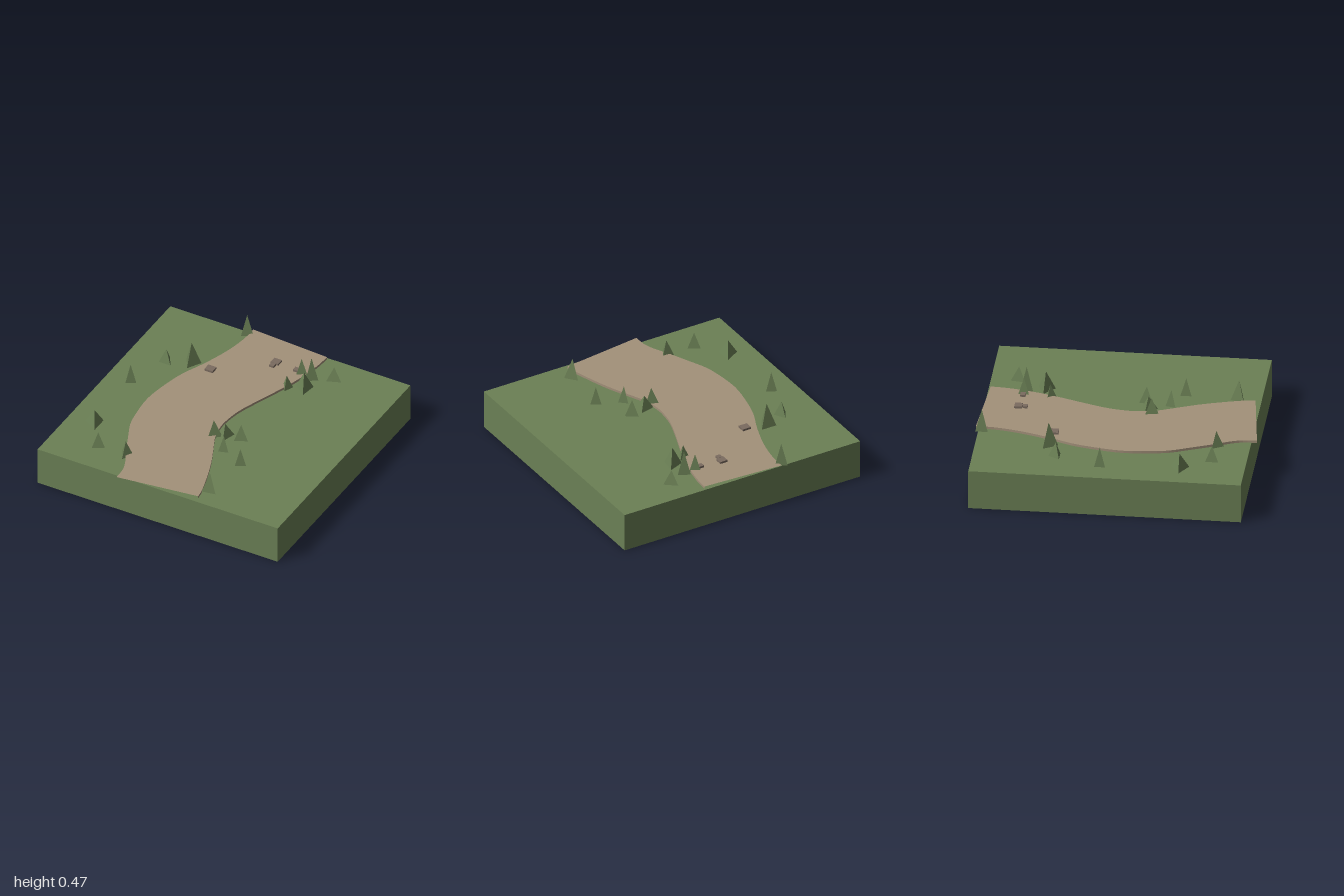
import * as THREE from 'three';

const GROUND_Y = 0.293;

const green = new THREE.MeshStandardMaterial({ color: 0x6b8055, flatShading: true, side: THREE.DoubleSide });
green.name = 'grass green';
const tan = new THREE.MeshStandardMaterial({ color: 0xa3917a, flatShading: true });
tan.name = 'path tan';
const stone = new THREE.MeshStandardMaterial({ color: 0x7b6c60, flatShading: true });
stone.name = 'stone brown';

// Ground block, hollow and open underneath
function makeGround() {
  const geo = new THREE.BoxGeometry(1.94, GROUND_Y, 1.94);
  const index = Array.from(geo.index.array);
  index.splice(18, 6); // remove the bottom face
  geo.setIndex(index);
  geo.clearGroups();
  const mesh = new THREE.Mesh(geo, green);
  mesh.name = 'ground';
  mesh.position.set(0, GROUND_Y / 2, -0.01);
  return mesh;
}

// Winding path: a slab swept between two edge curves, open at both ends
function makePath() {
  const curve = (pts) => new THREE.CatmullRomCurve3(pts.map(([x, z]) => new THREE.Vector3(x, 0, z)));
  const left = curve([[-0.31, -1], [-0.315, -0.87], [-0.35, -0.69], [-0.42, -0.48], [-0.5, -0.29],
    [-0.55, -0.08], [-0.57, 0.08], [-0.555, 0.27], [-0.53, 0.4], [-0.475, 0.53], [-0.395, 0.71], [-0.34, 0.82], [-0.315, 0.9], [-0.31, 1]]);
  const right = curve([[0.305, -0.965], [0.295, -0.84], [0.26, -0.66], [0.2, -0.47], [0.125, -0.27],
    [0.065, -0.09], [0.045, 0.05], [0.045, 0.11], [0.065, 0.23], [0.125, 0.37], [0.195, 0.53], [0.25, 0.69], [0.295, 0.85], [0.305, 0.92]]);
  const steps = 39, top = 0.312, bottom = GROUND_Y + 0.001;
  const sections = [];
  for (let i = 0; i <= steps; i++) {
    const l = left.getPoint(i / steps), r = right.getPoint(i / steps);
    sections.push([[l.x, top, l.z], [r.x, top, r.z], [r.x, bottom, r.z], [l.x, bottom, l.z]]);
  }
  const pos = [];
  for (let i = 0; i < steps; i++) {
    for (let k = 0; k < 4; k++) {
      const n = (k + 1) % 4;
      const a = sections[i][k], b = sections[i + 1][k], c = sections[i + 1][n], d = sections[i][n];
      pos.push(...a, ...b, ...c, ...a, ...c, ...d);
    }
  }
  const geo = new THREE.BufferGeometry();
  geo.setAttribute('position', new THREE.Float32BufferAttribute(pos, 3));
  geo.computeVertexNormals();
  const mesh = new THREE.Mesh(geo, tan);
  mesh.name = 'path';
  return mesh;
}

// Three-sided trees: x, z, radius, tip height, turn
const TREES = [
  [-0.335, -0.955, 0.052, 0.46, 1.57],
  [0.465, -0.78, 0.062, 0.40, 1.41],
  [0.235, -0.72, 0.05, 0.43, 1.57],
  [0.32, -0.71, 0.053, 0.475, 1.65],
  [0.335, -0.575, 0.072, 0.44, -1.72],
  [0.22, -0.53, 0.045, 0.40, 0.1],
  [-0.51, -0.46, 0.069, 0.475, 0],
  [-0.675, -0.39, 0.054, 0.405, 3.14],
  [-0.785, -0.065, 0.045, 0.44, 1.62],
  [0.04, 0.21, 0.063, 0.425, -0.3],
  [0.115, 0.18, 0.067, 0.40, 0.24],
  [0.23, 0.155, 0.057, 0.415, 1.48],
  [0.19, 0.335, 0.043, 0.42, -2.86],
  [0.37, 0.42, 0.046, 0.425, 1.57],
  [-0.765, 0.5, 0.076, 0.415, -1.57],
  [-0.615, 0.715, 0.054, 0.41, 1.57],
  [-0.39, 0.72, 0.054, 0.415, 0],
  [0.335, 0.8, 0.06, 0.45, -2.98],
];

function makeTrees() {
  const group = new THREE.Group();
  group.name = 'trees';
  for (const [x, z, r, tip, turn] of TREES) {
    const base = GROUND_Y + 0.002;
    const tree = new THREE.Mesh(new THREE.ConeGeometry(r, tip - base, 3), green);
    tree.name = 'tree';
    tree.position.set(x, (tip + base) / 2, z);
    tree.rotation.y = turn;
    group.add(tree);
  }
  return group;
}

// Flat stones on the path: x, z, width, depth
const STONES = [
  [0.022, -0.735, 0.06, 0.055],
  [0.018, -0.687, 0.037, 0.037],
  [0.2, -0.722, 0.055, 0.038],
  [-0.345, -0.437, 0.066, 0.06],
];

function makeStones() {
  const group = new THREE.Group();
  group.name = 'stones';
  for (const [x, z, w, d] of STONES) {
    const rock = new THREE.Mesh(new THREE.BoxGeometry(w, 0.02, d), stone);
    rock.name = 'stone';
    rock.position.set(x, 0.317, z);
    group.add(rock);
  }
  return group;
}

export function createModel() {
  const model = new THREE.Group();
  model.name = 'landscape';
  model.add(makeGround(), makePath(), makeTrees(), makeStones());
  return model;
}
